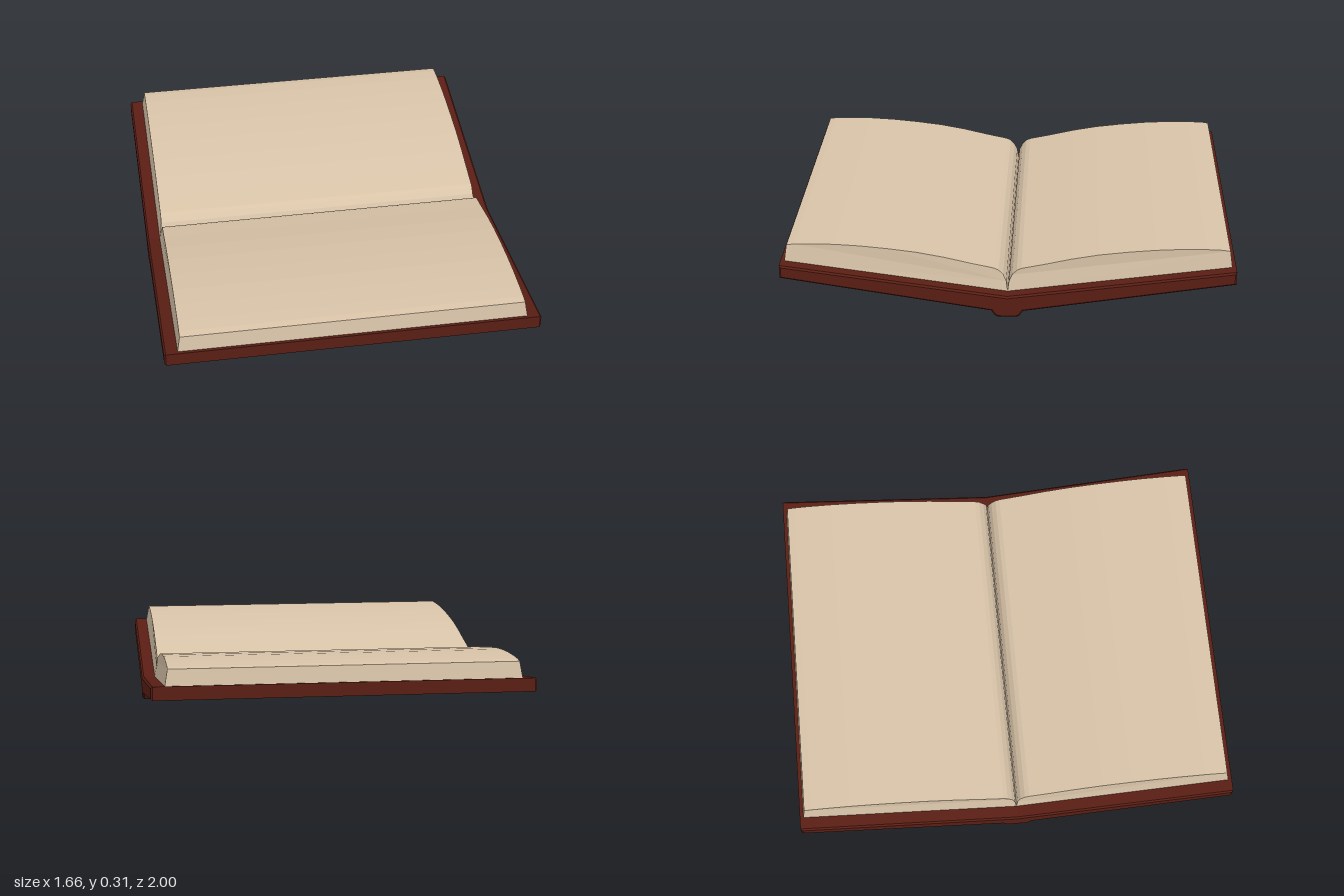
import * as THREE from 'three';

const coverMaterial = new THREE.MeshStandardMaterial({ color: 0x5a1e14, flatShading: true });
const pageMaterial = new THREE.MeshStandardMaterial({ color: 0xd8c3a8, flatShading: true });

const coverTop = (z) => 0.1 + 0.135 * Math.abs(z);

// Half profiles as [z, y], running from the spine outwards
const COVER_UNDERSIDE = [[0.04, 0], [0.055, 0.008], [0.07, 0.03], [1, 0.175]];
const PAGE_TOP = [
  [0, 0.1], [0.006, 0.145], [0.02, 0.175], [0.04, 0.196], [0.06, 0.206], [0.16, 0.227],
  [0.28, 0.255], [0.4, 0.277], [0.53, 0.293], [0.65, 0.304], [0.76, 0.31],
  [0.87, 0.311], [0.94, 0.309], [0.973, 0.304],
];

// Extrudes a [z, y] profile along x, centred on x = 0
function extrudeAcross(profile, width, bevel = 0) {
  const shape = new THREE.Shape(profile.map(([z, y]) => new THREE.Vector2(z, y)));
  const geometry = new THREE.ExtrudeGeometry(shape, {
    depth: width - 2 * bevel,
    bevelEnabled: bevel > 0,
    bevelThickness: bevel,
    bevelSize: bevel,
    bevelOffset: -bevel,
    bevelSegments: 1,
  });
  geometry.translate(0, 0, bevel - width / 2);
  geometry.rotateY(-Math.PI / 2);
  return geometry;
}

function createCover() {
  // Two shallow boards joined by a raised spine
  const right = [...COVER_UNDERSIDE, [1, coverTop(1)]];
  const left = right.map(([z, y]) => [-z, y]).reverse();
  const mesh = new THREE.Mesh(extrudeAcross([...right, [0, coverTop(0)], ...left], 1.66, 0.008), coverMaterial);
  mesh.name = 'cover';
  return mesh;
}

function createPages(side, name) {
  const profile = [...PAGE_TOP, [0.984, coverTop(0.984) - 0.004]].map(([z, y]) => [z * side, y]);
  const geometry = extrudeAcross(profile, 1.54);

  // Lean the page ends inwards above the cover
  const p = geometry.attributes.position;
  for (let i = 0; i < p.count; i++) {
    const height = Math.max(0, p.getY(i) - coverTop(p.getZ(i)));
    const inset = 0.013 * Math.min(1, height / 0.07);
    p.setX(i, Math.sign(p.getX(i)) * (0.77 - inset));
  }
  geometry.computeVertexNormals();

  const mesh = new THREE.Mesh(geometry, pageMaterial);
  mesh.name = name;
  return mesh;
}

export function createModel() {
  const book = new THREE.Group();
  book.name = 'openBook';
  book.add(createCover(), createPages(1, 'frontPages'), createPages(-1, 'backPages'));
  return book;
}
